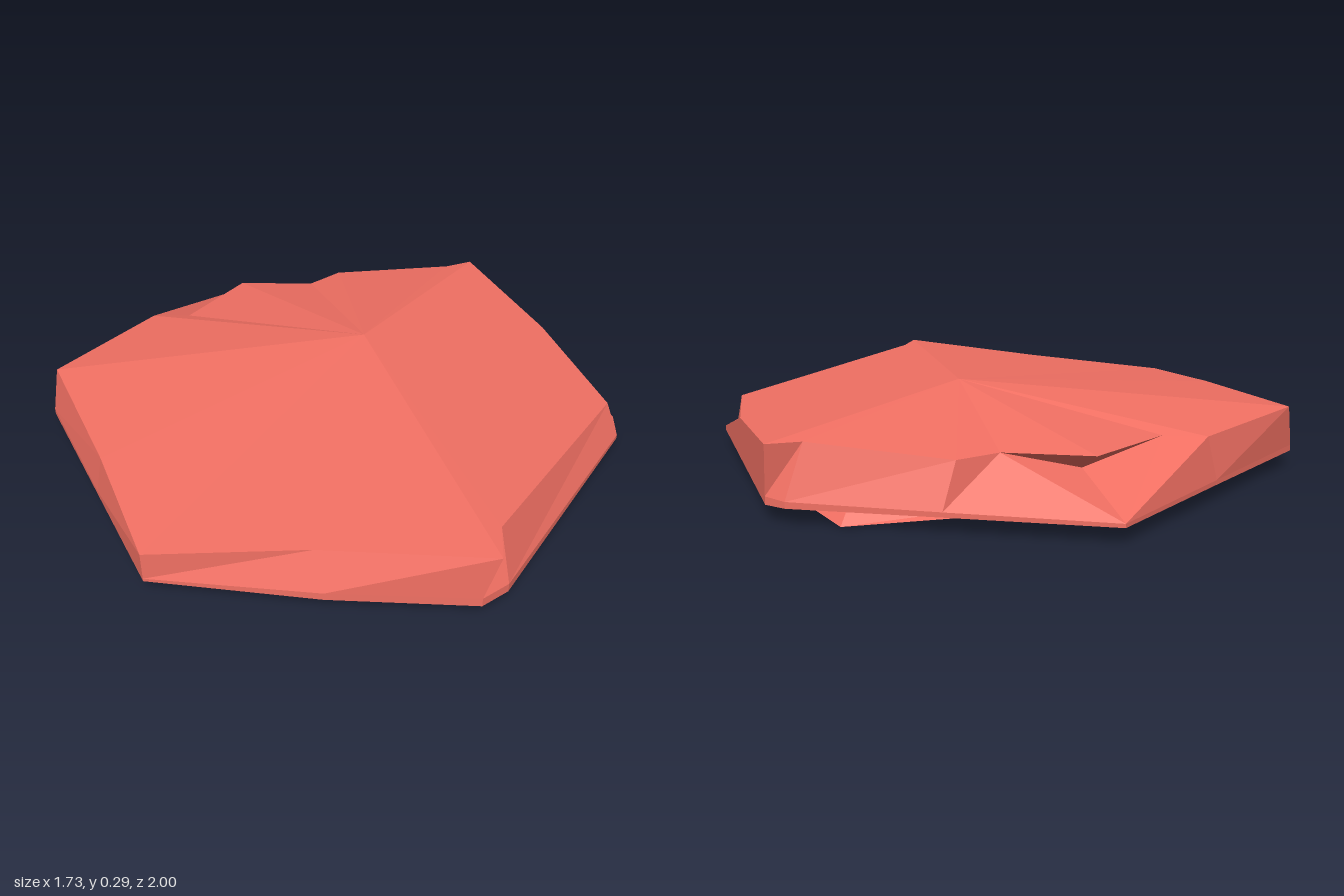
import * as THREE from 'three';

const material = new THREE.MeshStandardMaterial({ color: 0xf27063, flatShading: true, side: THREE.DoubleSide });

// Faceted mesh from a list of triangles (each three [x, y, z] points)
function facetMesh(name, triangles) {
  const geometry = new THREE.BufferGeometry();
  geometry.setAttribute('position', new THREE.Float32BufferAttribute(triangles.flat(2), 3));
  geometry.computeVertexNormals();
  const mesh = new THREE.Mesh(geometry, material);
  mesh.name = name;
  return mesh;
}

// Fan from a centre point to a closed rim; down flips it to face the ground
function fan(centre, rim, down = false) {
  return rim.map((a, i) => {
    const b = rim[(i + 1) % rim.length];
    return down ? [centre, b, a] : [centre, a, b];
  });
}

// Band of facets between two closed rims
function band(upper, lower) {
  return upper.flatMap((a, i) => {
    const j = (i + 1) % upper.length;
    return [[lower[i], lower[j], upper[j]], [lower[i], upper[j], a]];
  });
}

export function createModel() {
  const group = new THREE.Group();
  group.name = 'rockTile';

  // Rims run from the front corner round by +x to the back and home by -x
  const topRim = [
    [0, 0.235, 1], [0.07, 0.235, 0.89], [0.8, 0.165, 0.47], [0.866, 0.195, 0],
    [0.866, 0.235, -0.5], [0.76, 0.235, -0.51], [0.38, 0.2, -0.72],
    [0.24, 0.2, -0.69], [0, 0.2, -0.82], [-0.28, 0.2, -0.68],
    [-0.4, 0.2, -0.74], [-0.83, 0.21, -0.53], [-0.84, 0.19, 0],
    [-0.866, 0.155, 0.44], [-0.43, 0.195, 0.69],
  ];
  const backTip = [0, 0.062, -1];
  const skirtRim = [
    [-0.04, 0.08, 0.98], [0.06, 0.08, 0.965], [0.81, 0.065, 0.53], [0.866, 0.065, 0.44],
    [0.866, 0.075, -0.47], [0.82, 0.07, -0.525], [0.43, 0.065, -0.75],
    backTip, backTip, backTip,
    [-0.43, 0.065, -0.75], [-0.866, 0.07, -0.5], [-0.866, 0.065, 0],
    [-0.866, 0.06, 0.44], [-0.43, 0.075, 0.75],
  ];
  const baseRim = skirtRim.map(([x, , z]) => [x, 0.05, z]);

  // Gently peaked top
  const peak = [0.17, 0.295, -0.12];
  group.add(facetMesh('topSurface', fan(peak, topRim)));

  // Sides, with a notch cut in under the back ledge
  const notch = [0, 0.14, -0.72];
  const sideRim = topRim.map((p, i) => (i === 8 ? notch : p));
  group.add(facetMesh('sides', [...band(sideRim, skirtRim), ...band(skirtRim, baseRim)]));

  // Underside of the overhanging back ledge
  group.add(facetMesh('ledgeUnderside', [
    [topRim[7], notch, topRim[8]],
    [topRim[8], notch, topRim[9]],
  ]));

  // Flat base
  group.add(facetMesh('base', fan([0, 0.05, 0], baseRim, true)));

  // Rough slab below the base
  const slabRim = [
    [0, 0.02, 0.89], [0.75, 0.035, 0.4], [0.8, 0.03, -0.2], [0.68, 0.004, -0.6],
    [0, 0.03, -0.76], [-0.7, 0.025, -0.45], [-0.7, 0.02, 0.37],
  ];
  const slabTop = slabRim.map(([x, , z]) => [x * 0.95, 0.052, z * 0.93]);
  group.add(facetMesh('lowerSlab', [
    ...band(slabTop, slabRim),
    ...fan([0.36, 0, 0.38], slabRim, true),
  ]));

  return group;
}
